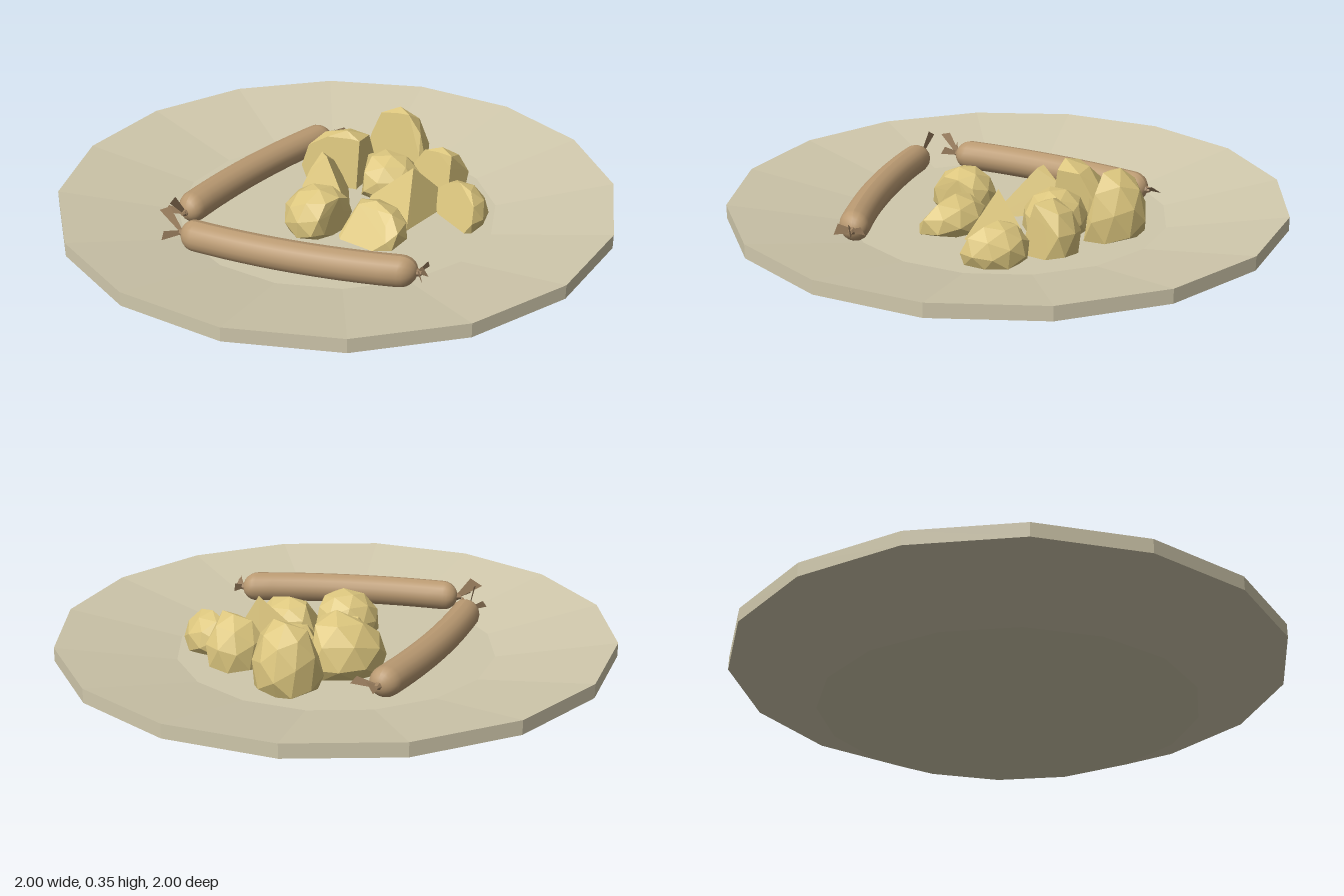
import * as THREE from 'three';
import { ConvexGeometry } from 'three/addons/geometries/ConvexGeometry.js';

const FLOOR = 0.11;
const plateMat = new THREE.MeshStandardMaterial({ color: 0xd0c8ac, flatShading: true });
const potatoMat = new THREE.MeshStandardMaterial({ color: 0xdcc67e, flatShading: true });
const sausageMat = new THREE.MeshStandardMaterial({ color: 0xba9a72 });
const skinMat = new THREE.MeshStandardMaterial({ color: 0xa08362, flatShading: true, side: THREE.DoubleSide });

function addMesh(parent, name, geometry, material) {
  const mesh = new THREE.Mesh(geometry, material);
  mesh.name = name;
  parent.add(mesh);
  return mesh;
}

// Rounded chunk with flat knife cuts, fitted into a box; each cut is [nx, ny, nz, distance]
function potatoGeometry([x0, x1, z0, z1, top], cuts, turn) {
  const pos = new THREE.IcosahedronGeometry(1, 1).attributes.position;
  const planes = [[0, -1, 0, 0.35], ...cuts].map(([x, y, z, d]) => [new THREE.Vector3(x, y, z).normalize(), d]);
  const seen = new Map();
  for (let i = 0; i < pos.count; i++) {
    const p = new THREE.Vector3().fromBufferAttribute(pos, i);
    p.applyEuler(new THREE.Euler(turn * 0.6, turn, turn * 0.3));
    for (let pass = 0; pass < 4; pass++) {
      for (const [n, d] of planes) p.addScaledVector(n, -Math.max(0, p.dot(n) - d));
    }
    seen.set(p.toArray().map((v) => v.toFixed(3)).join(), p);
  }
  const points = [...seen.values()];
  const box = new THREE.Box3().setFromPoints(points);
  const size = box.getSize(new THREE.Vector3());
  const target = new THREE.Vector3(x1 - x0, top - FLOOR, z1 - z0);
  for (const p of points) {
    p.sub(box.min).divide(size).multiply(target).add(new THREE.Vector3(x0, FLOOR, z0));
  }
  return new ConvexGeometry(points);
}

// Twisted skin: a pinched neck and flat flaps spreading along +x
function skinEnd(name, flaps) {
  const group = new THREE.Group();
  group.name = name;
  const neck = addMesh(group, 'skinNeck', new THREE.CylinderGeometry(0.008, 0.02, 0.03, 6), skinMat);
  neck.rotation.z = -Math.PI / 2;
  for (const [yaw, pitch, roll, length, width] of flaps) {
    const shape = new THREE.Shape([
      new THREE.Vector2(0, -0.007), new THREE.Vector2(length, -width / 2),
      new THREE.Vector2(length * 0.85, width / 2), new THREE.Vector2(0, 0.007),
    ]);
    const flap = addMesh(group, 'skinFlap', new THREE.ShapeGeometry(shape), skinMat);
    flap.rotation.set(roll, yaw, pitch, 'YZX');
  }
  return group;
}

// Capsule along x, bowed towards +z, with skin at both ends
function sausage(name, start, end, bow, flapsA, flapsB) {
  const group = new THREE.Group();
  group.name = name;
  const dx = end[0] - start[0], dz = end[1] - start[1];
  const half = Math.hypot(dx, dz) / 2, radius = 0.055;
  const geo = new THREE.CapsuleGeometry(radius, 2 * (half - radius), 6, 16, 12).rotateZ(-Math.PI / 2);
  const pos = geo.attributes.position;
  for (let i = 0; i < pos.count; i++) {
    pos.setZ(i, pos.getZ(i) + bow * (0.5 - (pos.getX(i) / half) ** 2));
  }
  geo.computeVertexNormals();
  addMesh(group, 'sausageBody', geo, sausageMat);
  const tail = skinEnd('skinEndStart', flapsA);
  tail.position.set(-half, 0, -bow / 2);
  tail.rotation.y = Math.PI;
  const head = skinEnd('skinEndFinish', flapsB);
  head.position.set(half, 0, -bow / 2);
  group.add(tail, head);
  group.position.set((start[0] + end[0]) / 2, FLOOR + radius, (start[1] + end[1]) / 2);
  group.rotation.y = -Math.atan2(dz, dx);
  return group;
}

export function createModel() {
  const model = new THREE.Group();
  model.name = 'plateOfFood';

  // Plate: sixteen-sided closed profile from underside to inner floor
  const profile = [[0, 0], [0.68, 0], [1, 0.14], [1, 0.19], [0.575, FLOOR], [0, FLOOR]]
    .map(([r, y]) => new THREE.Vector2(r, y));
  addMesh(model, 'plate', new THREE.LatheGeometry(profile, 16), plateMat);

  // Potato chunks: [x0, x1, z0, z1, top], cuts, turn
  const potatoes = new THREE.Group();
  potatoes.name = 'potatoes';
  model.add(potatoes);
  const chunks = [
    [[-0.03, 0.22, -0.52, -0.32, 0.35], [[-0.25, 0.2, 1, 0.1]], 0.4],
    [[-0.21, 0.03, -0.35, -0.16, 0.325], [[-0.05, 0.12, 1, 0.1], [1, 0, 0.1, 0.3]], 1.1],
    [[0.02, 0.25, -0.31, -0.09, 0.26], [[-1, 0.1, 0.2, 0.6]], 2.0],
    [[0.2, 0.41, -0.33, -0.14, 0.3], [[-0.4, 0.25, 1, 0.1], [1, 0.1, 0.4, 0.5]], 2.7],
    [[-0.16, 0.07, -0.17, 0.05, 0.27], [[0.9, 0.5, -0.35, 0.05], [-0.4, 0.5, 1, 0.1]], 3.3],
    [[0.11, 0.35, -0.15, 0.08, 0.3], [[0.9, 0.35, 0.3, 0.35], [-0.4, 0.6, 0.8, 0.2], [-0.4, 0.6, -0.8, 0.3]], 4.2],
    [[0.33, 0.54, -0.18, 0.03, 0.25], [[-0.6, 0.3, 0.8, 0.1]], 5.0],
    [[-0.13, 0.09, 0.05, 0.28, 0.27], [[1, 0, 0.3, 0.6]], 5.6],
    [[0.08, 0.32, 0.04, 0.26, 0.24], [[-0.3, 0.5, 0.9, 0.3], [-1, 0.3, 0, 0.5]], 0.9],
  ];
  chunks.forEach(([box, cuts, turn], i) => {
    addMesh(potatoes, `potatoChunk${i + 1}`, potatoGeometry(box, cuts, turn), potatoMat);
  });

  // Sausages: flaps are [yaw, pitch, roll, length, width]
  model.add(
    sausage('sideSausage', [-0.235, -0.47], [-0.465, 0.32], 0.03,
      [[-0.2, 0.2, 0.9, 0.05, 0.05], [-1.1, 0.3, 0.2, 0.09, 0.03]],
      [[0.9, 0.3, 0.3, 0.07, 0.03], [-0.9, 0.25, 0.2, 0.07, 0.03], [0, 0.9, 0.2, 0.1, 0.035]]),
    sausage('frontSausage', [-0.395, 0.475], [0.445, 0.45], 0.035,
      [[0.9, 0.1, 0.3, 0.08, 0.03], [-0.3, 0.75, 0.1, 0.11, 0.05]],
      [[1.1, 0.2, 0.2, 0.06, 0.03], [-1.1, 0.2, 0.2, 0.06, 0.04], [0, 0.3, 0.3, 0.03, 0.05]]),
  );
  return model;
}
